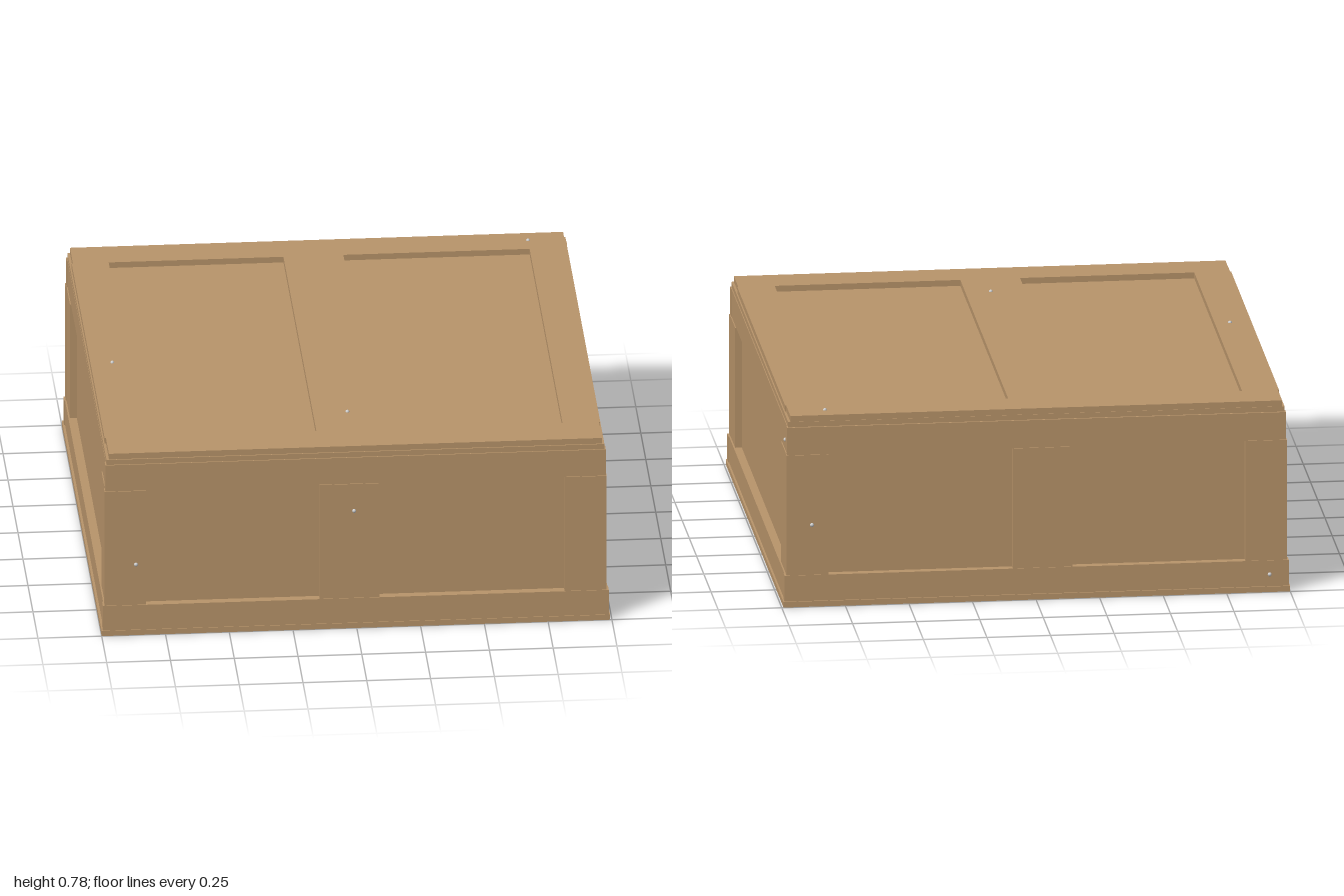
import * as THREE from 'three';

const wood = new THREE.MeshStandardMaterial({ color: 0xb8946a, flatShading: true });
const steel = new THREE.MeshStandardMaterial({ color: 0xcccccc });

// Board given by its extents along x, y and z
function board(parent, name, [x0, x1], [y0, y1], [z0, z1]) {
  const mesh = new THREE.Mesh(new THREE.BoxGeometry(x1 - x0, y1 - y0, z1 - z0), wood);
  mesh.position.set((x0 + x1) / 2, (y0 + y1) / 2, (z0 + z1) / 2);
  mesh.name = name;
  parent.add(mesh);
}

export function createModel() {
  const crate = new THREE.Group();
  crate.name = 'woodenCrate';
  const middle = [-0.145, 0.09];
  const bottom = [0.02, 0.127], centre = [0.127, 0.615], top = [0.615, 0.727];

  // Base plate and the inner box whose faces are the recessed panels
  board(crate, 'basePlate', [-1, 0.993], [0, 0.022], [-0.998, 1]);
  board(crate, 'recessedPanels', [-0.958, 0.953], [0.02, 0.748], [-0.96, 0.965]);

  // Front and back frames: two rails, two end stiles and a middle stile
  for (const s of [1, -1]) {
    const frame = new THREE.Group();
    frame.name = s > 0 ? 'frontFrame' : 'backFrame';
    const depth = (d) => (s > 0 ? [0.955, d] : [-d + 0.005, -0.955]);
    board(frame, 'bottomRail', [-0.995, 0.988], bottom, depth(0.997));
    board(frame, 'topRail', [-0.985, 0.977], top, depth(0.99));
    board(frame, 'stile', [-0.988, -0.825], centre, depth(0.994));
    board(frame, 'stile', [0.815, 0.98], centre, depth(0.994));
    board(frame, 'middleStile', middle, centre, depth(0.994));
    crate.add(frame);
  }

  // Side frames sit between the front and back frames
  for (const s of [1, -1]) {
    const frame = new THREE.Group();
    frame.name = s > 0 ? 'leftFrame' : 'rightFrame';
    const depth = (d) => (s > 0 ? [0.94, d - 0.006] : [-d, -0.94]);
    board(frame, 'bottomRail', depth(0.991), bottom, [-0.953, 0.957]);
    board(frame, 'topRail', depth(0.981), top, [-0.953, 0.957]);
    board(frame, 'stile', depth(0.985), centre, [0.797, 0.957]);
    board(frame, 'stile', depth(0.985), centre, [-0.953, -0.787]);
    crate.add(frame);
  }

  // Lid: a thin panel with raised boards
  const lid = new THREE.Group();
  lid.name = 'lid';
  board(lid, 'lidPanel', [-0.98, 0.972], [0.727, 0.748], [-0.977, 0.985]);
  const raised = [0.748, 0.772], span = [-0.825, 0.828];
  board(lid, 'frontLidBoard', [-0.97, 0.963], raised, [0.828, 0.98]);
  board(lid, 'backLidBoard', [-0.97, 0.963], raised, [-0.975, -0.825]);
  board(lid, 'rightLidBoard', [-0.975, -0.83], raised, span);
  board(lid, 'leftLidBoard', [0.82, 0.967], raised, span);
  board(lid, 'middleLidBoard', middle, raised, span);
  crate.add(lid);

  // Scattered nail heads
  const nailGeometry = new THREE.SphereGeometry(0.008, 8, 6);
  const nails = [
    [-0.865, 0.3, 0.994], [-0.01, 0.5, 0.994], [0.974, 0.655, -0.9],
    [0.82, 0.772, -0.905], [-0.89, 0.772, 0.12], [-0.01, 0.772, 0.655],
    [0.88, 0.33, -0.989], [-0.92, 0.07, -0.992],
  ];
  for (const p of nails) {
    const nail = new THREE.Mesh(nailGeometry, steel);
    nail.position.set(...p);
    nail.name = 'nail';
    crate.add(nail);
  }
  return crate;
}
